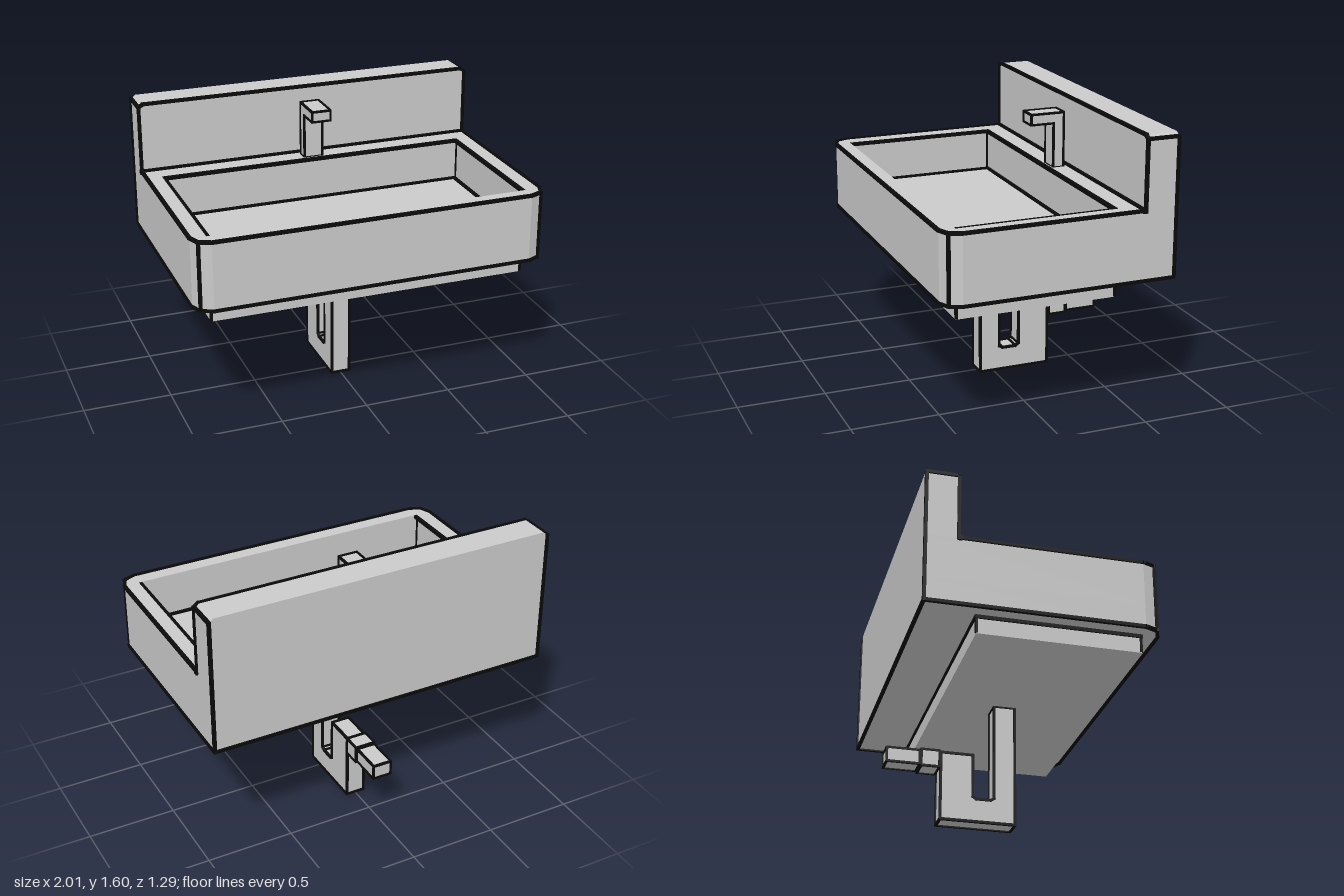
import * as THREE from 'three';

export function createModel() {
  const ceramic = new THREE.MeshStandardMaterial({ color: 0xcacaca });
  ceramic.name = 'light grey';
  const ink = new THREE.MeshStandardMaterial({ color: 0x0a0a0a });
  ink.name = 'black edging';

  const root = new THREE.Group();
  root.name = 'wallSink';

  const add = (parent, name, geo, mat = ceramic) => {
    const m = new THREE.Mesh(geo, mat);
    m.name = name;
    parent.add(m);
    return m;
  };
  const group = (name) => {
    const g = new THREE.Group();
    g.name = name;
    root.add(g);
    return g;
  };
  const shapeOf = (pts) => new THREE.Shape(pts.map((p) => new THREE.Vector2(p[0], p[1])));
  const extrude = (shape, depth) => new THREE.ExtrudeGeometry(shape, { depth, bevelEnabled: false });

  // Slim square bar between two points
  function bar(parent, a, b, w = 0.018) {
    const A = new THREE.Vector3(...a), B = new THREE.Vector3(...b);
    const m = add(parent, 'edgeStrip', new THREE.BoxGeometry(w, w, A.distanceTo(B) + w * 0.9), ink);
    m.position.copy(A).add(B).multiplyScalar(0.5);
    m.lookAt(B);
  }
  function path(parent, pts, w, closed = false) {
    for (let i = 0; i < pts.length - (closed ? 0 : 1); i++) bar(parent, pts[i], pts[(i + 1) % pts.length], w);
  }

  // Solid from a side profile of [z, y] points, edged on both sides
  function sideProfile(parent, name, pts, half, w = 0.014) {
    const g = extrude(shapeOf(pts), half * 2);
    g.rotateY(-Math.PI / 2);
    g.translate(half, 0, 0);
    add(parent, name, g);
    for (const s of [-1, 1]) path(parent, pts.map(([z, y]) => [s * half, y, z]), w, true);
    for (const [z, y] of pts) bar(parent, [-half, y, z], [half, y, z], w);
  }
  const rect = (z0, z1, y0, y1) => [[z0, y0], [z1, y0], [z1, y1], [z0, y1]];

  // Basin: outline with rounded front corners, hollowed above the floor
  const X = 0.991, BACK = -0.638, TOP = 1.192, FLOOR = 0.94, BOTTOM = 0.81;
  const corner = [[X, 0.54], [0.965, 0.607], [0.9, 0.635]];
  const front = [...corner, ...corner.map(([x, z]) => [-x, z]).reverse()];
  const outline = [[X, BACK], ...front, [-X, BACK]];
  const IX = 0.905, IZ0 = -0.35, IZ1 = 0.548;
  const slab = (shape, top, depth) => {
    const g = extrude(shape, depth);
    g.rotateX(Math.PI / 2);
    g.translate(0, top, 0);
    return g;
  };
  const basin = group('basin');
  const rim = shapeOf(outline);
  rim.holes.push(new THREE.Path([[-IX, IZ0], [-IX, IZ1], [IX, IZ1], [IX, IZ0]].map((p) => new THREE.Vector2(...p))));
  add(basin, 'basinWalls', slab(rim, TOP, TOP - FLOOR));
  add(basin, 'basinFloor', slab(shapeOf(outline), FLOOR, FLOOR - BOTTOM));

  // Basin edging
  path(basin, [[X, TOP, -0.46], ...front.map(([x, z]) => [x, TOP, z]), [-X, TOP, -0.46]]);
  path(basin, outline.map(([x, z]) => [x, BOTTOM, z]), 0.018, true);
  for (const s of [-1, 1]) bar(basin, [s * 0.965, BOTTOM, 0.607], [s * 0.965, TOP, 0.607]);
  const r = 0.01;
  const inner = [[IX - r, IZ1 - r], [IX - r, IZ0 + r], [-IX + r, IZ0 + r], [-IX + r, IZ1 - r]];
  path(basin, inner.map(([x, z]) => [x, FLOOR, z]), 0.022, true);
  path(basin, inner.map(([x, z]) => [x, TOP - 0.01, z]), 0.02);
  for (const [x, z] of inner) bar(basin, [x + Math.sign(x) * r, FLOOR, z], [x + Math.sign(x) * r, TOP - 0.01, z], 0.012);

  // Backsplash with clipped top corners
  const splash = group('backsplash');
  const SF = -0.463, ST = 1.59, SC = 1.57;
  const plate = extrude(shapeOf([[-X, TOP], [X, TOP], [X, SC], [0.968, ST], [-0.968, ST], [-X, SC]]), SF - BACK);
  plate.translate(0, 0, BACK);
  add(splash, 'backsplashPanel', plate);
  path(splash, [[-X, TOP, SF], [-X, SC, SF], [-0.968, ST - 0.003, SF], [0.968, ST - 0.003, SF], [X, SC, SF], [X, TOP, SF]]);
  bar(splash, [-X, TOP, SF + 0.006], [X, TOP, SF + 0.006], 0.026);
  for (const s of [-1, 1]) {
    bar(splash, [s * X, BOTTOM, BACK], [s * X, SC, BACK]);
    bar(splash, [s * X, SC, BACK], [s * X, SC, SF]);
  }

  // Raised plate under the basin
  const under = group('underPlate');
  const plateGeo = new THREE.BoxGeometry(1.79, 0.11, 0.89);
  plateGeo.translate(0, 0.76, 0.1);
  add(under, 'underPlateBody', plateGeo);
  const px = 0.893, pz = [-0.343, 0.543];
  path(under, [[px, 0.8, pz[0]], [px, 0.8, pz[1]], [-px, 0.8, pz[1]], [-px, 0.8, pz[0]]], 0.02, true);
  for (const x of [-px, px]) for (const z of pz) bar(under, [x, 0.715, z], [x, 0.8, z], 0.014);

  // Faucet
  const faucet = group('faucet');
  sideProfile(faucet, 'faucetBody',
    [[-0.423, 1.19], [-0.362, 1.19], [-0.362, 1.448], [-0.226, 1.448], [-0.226, 1.506], [-0.423, 1.506]], 0.054, 0.012);

  // Drain trap with outlet running to the wall
  const drain = group('drain');
  sideProfile(drain, 'trap', [
    [0.083, 0.007], [0.083, 0.704], [-0.034, 0.704], [-0.034, 0.15], [-0.055, 0.137], [-0.135, 0.137],
    [-0.155, 0.15], [-0.155, 0.394], [-0.335, 0.394], [-0.335, 0.007],
  ].reverse(), 0.053);
  sideProfile(drain, 'outletJoint', rect(-0.445, -0.345, 0.306, 0.4), 0.058, 0.012);
  sideProfile(drain, 'outletArm', rect(-0.636, -0.455, 0.314, 0.394), 0.053, 0.012);

  return root;
}
